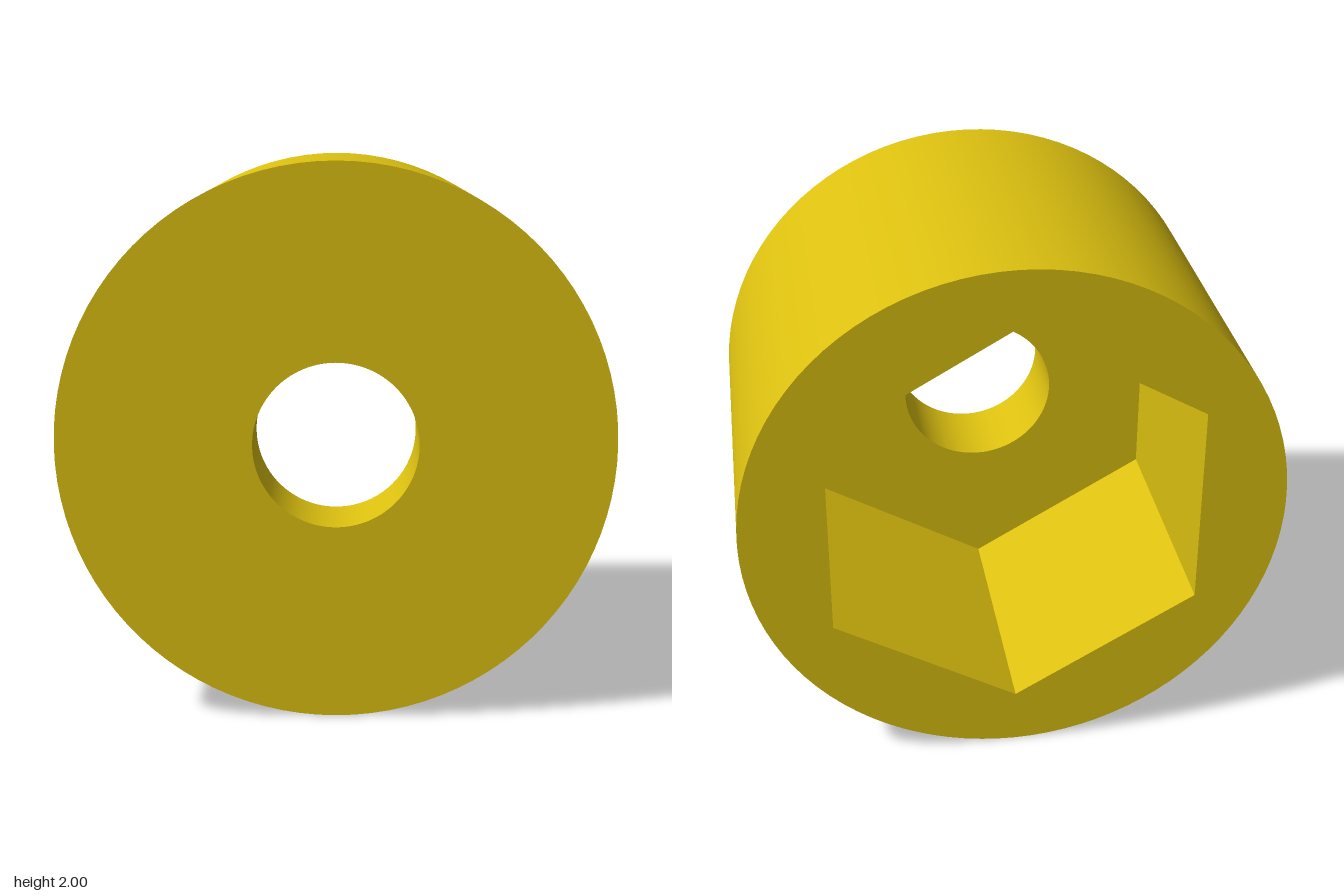
import * as THREE from 'three';

const HALF = 0.66;      // half length along z
const FLOOR = 0.33;     // z of the socket floor
const OUTER = 1, BORE = 0.297, HEX = 0.785;
const ROUND = 96;

// regular polygon outline with a corner at the bottom
function ring(radius, sides, PathClass) {
  const points = [];
  for (let i = 0; i < sides; i++) {
    const a = (i / sides) * Math.PI * 2 - Math.PI / 2;
    points.push(new THREE.Vector2(Math.cos(a) * radius, Math.sin(a) * radius));
  }
  return new PathClass(points);
}

// wall along z; running from low to high z faces outward, the reverse faces inward
function wall(radius, sides, zStart, zEnd) {
  const profile = [new THREE.Vector2(radius, zStart), new THREE.Vector2(radius, zEnd)];
  return new THREE.LatheGeometry(profile, sides).rotateX(Math.PI / 2);
}

// flat face with a hole in it
function plate(radius, sides, holeRadius, holeSides, z, facesBack) {
  const shape = ring(radius, sides, THREE.Shape);
  shape.holes.push(ring(holeRadius, holeSides, THREE.Path));
  const geometry = new THREE.ShapeGeometry(shape);
  if (facesBack) geometry.rotateY(Math.PI);
  return geometry.translate(0, 0, z);
}

export function createModel() {
  const yellow = new THREE.MeshStandardMaterial({ color: 0xdcc010 });
  yellow.name = 'yellow';
  const model = new THREE.Group();
  model.name = 'hexSocketSpacer';

  const add = (name, geometry) => {
    const mesh = new THREE.Mesh(geometry, yellow);
    mesh.name = name;
    mesh.position.y = OUTER;
    model.add(mesh);
  };

  // cylindrical body
  add('outerWall', wall(OUTER, ROUND, -HALF, HALF));
  add('frontFace', plate(OUTER, ROUND, BORE, ROUND, HALF, false));
  add('backFace', plate(OUTER, ROUND, HEX, 6, -HALF, true));

  // round bore through the front
  add('boreWall', wall(BORE, ROUND, HALF, FLOOR));

  // hexagonal socket open to the back, with flat sides
  const socket = wall(HEX, 6, FLOOR, -HALF).toNonIndexed();
  socket.computeVertexNormals();
  add('socketWall', socket);
  add('socketFloor', plate(HEX, 6, BORE, ROUND, FLOOR, true));

  return model;
}
